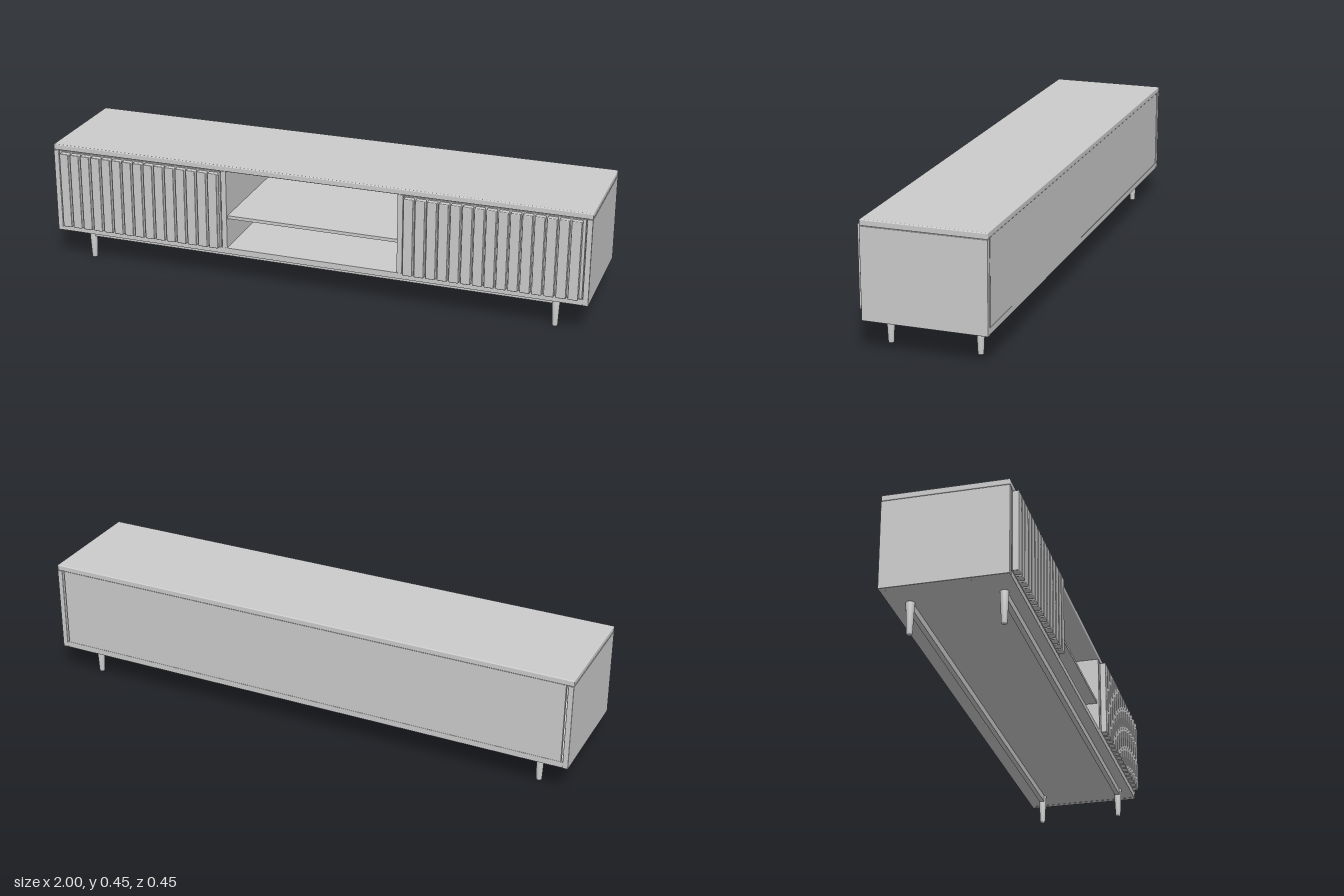
import * as THREE from 'three';
import { RoundedBoxGeometry } from 'three/addons/geometries/RoundedBoxGeometry.js';

export function createModel() {
  const model = new THREE.Group();
  model.name = 'mediaCabinet';
  const grey = new THREE.MeshStandardMaterial({ color: 0xcccccc });
  grey.name = 'plainGrey';

  // Adds a box given by its minimum and maximum corners, with an optional edge radius.
  function panel(name, [x0, y0, z0], [x1, y1, z1], radius = 0) {
    const size = [x1 - x0, y1 - y0, z1 - z0];
    const geometry = radius
      ? new RoundedBoxGeometry(...size, 2, radius)
      : new THREE.BoxGeometry(...size);
    const mesh = new THREE.Mesh(geometry, grey);
    mesh.name = name;
    mesh.position.set((x0 + x1) / 2, (y0 + y1) / 2, (z0 + z1) / 2);
    model.add(mesh);
  }

  const back = -0.225, front = 0.205;

  // Carcass: top, floor, back and open shelf
  panel('top', [-1, 0.43, back], [1, 0.452, front], 0.004);
  panel('floor', [-0.98, 0.113, back + 0.001], [0.98, 0.135, front - 0.001]);
  panel('backPanel', [-0.973, 0.135, back + 0.002], [0.973, 0.43, back + 0.014]);
  panel('shelf', [-0.322, 0.246, back + 0.014], [0.322, 0.258, front - 0.01]);

  for (const side of [-1, 1]) {
    const word = side < 0 ? 'right' : 'left';
    // Places a panel between two distances from the middle on this side.
    const sidePanel = (name, a, b, y0, y1, z0, z1, radius) => panel(word + name,
      [Math.min(side * a, side * b), y0, z0], [Math.max(side * a, side * b), y1, z1], radius);

    sidePanel('Side', 0.98, 1, 0.112, 0.43, back, front, 0.002);
    sidePanel('Divider', 0.32, 0.339, 0.135, 0.43, back + 0.014, front - 0.002);

    // Slatted door
    sidePanel('DoorPanel', 0.342, 0.977, 0.137, 0.428, front - 0.02, front - 0.002);
    const slats = 15, pitch = 0.0418;
    for (let i = 0; i < slats; i++) {
      const x = 0.347 + i * pitch;
      sidePanel('DoorSlat', x, x + 0.035, 0.137, 0.425, front - 0.002, 0.226, 0.003);
    }
  }

  // Tapered round legs, joined by a long rail at front and back
  const legProfile = [[0, 0], [0.008, 0], [0.01, 0.003], [0.015, 0.113], [0, 0.113]]
    .map(([r, y]) => new THREE.Vector2(r, y));
  const legGeometry = new THREE.LatheGeometry(legProfile, 24);
  for (const z of [-0.155, 0.156]) {
    panel(z > 0 ? 'frontRail' : 'backRail', [-0.88, 0.087, z - 0.009], [0.88, 0.113, z + 0.009]);
    for (const x of [-0.88, 0.88]) {
      const leg = new THREE.Mesh(legGeometry, grey);
      leg.name = (z > 0 ? 'front' : 'back') + (x > 0 ? 'Left' : 'Right') + 'Leg';
      leg.position.set(x, 0, z);
      model.add(leg);
    }
  }
  return model;
}
